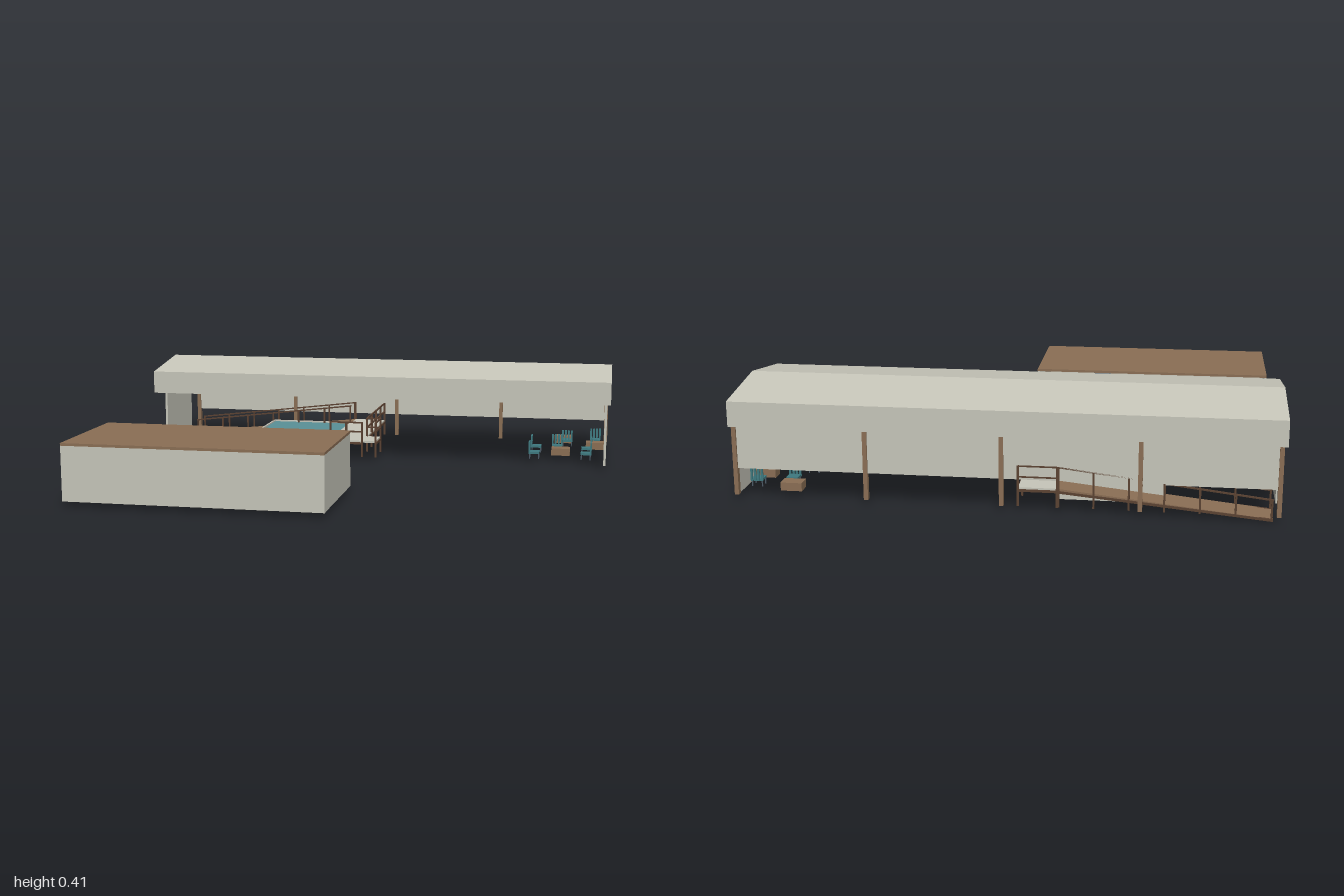
import * as THREE from 'three';

const mat = (name, color, side = THREE.FrontSide) => {
  const m = new THREE.MeshStandardMaterial({ color, side });
  m.name = name;
  return m;
};

export function createModel() {
  const wall = mat('pale grey wall', 0xc8c7bb);
  const wood = mat('brown wood', 0x8b6f55);
  const darkWood = mat('dark brown timber', 0x5c4333);
  const water = mat('teal water', 0x5a9298);
  const teal = mat('teal seat', 0x3f7a80);
  const slate = mat('slate locker', 0x4c5a66);

  const model = new THREE.Group();
  const group = (name, parent = model) => {
    const g = new THREE.Group();
    g.name = name;
    parent.add(g);
    return g;
  };
  // Box given by its lower and upper limits on each axis
  const box = (parent, name, m, x0, x1, y0, y1, z0, z1) => {
    const mesh = new THREE.Mesh(new THREE.BoxGeometry(x1 - x0, y1 - y0, z1 - z0), m);
    mesh.position.set((x0 + x1) / 2, (y0 + y1) / 2, (z0 + z1) / 2);
    mesh.name = name;
    parent.add(mesh);
    return mesh;
  };
  // Square bar between two points
  const bar = (parent, name, m, a, b, t) => {
    const p = new THREE.Vector3(...a), q = new THREE.Vector3(...b);
    const mesh = new THREE.Mesh(new THREE.BoxGeometry(t, t, p.distanceTo(q)), m);
    mesh.position.copy(p).add(q).multiplyScalar(0.5);
    mesh.lookAt(q);
    mesh.name = name;
    parent.add(mesh);
  };
  // Profile of [z, y] points pushed along x
  const profile = (parent, name, m, pts, x0, x1) => {
    const shape = new THREE.Shape(pts.map(([z, y]) => new THREE.Vector2(-z, y)));
    const geo = new THREE.ExtrudeGeometry(shape, { depth: x1 - x0, bevelEnabled: false });
    geo.rotateY(Math.PI / 2).translate(x0, 0, 0);
    const mesh = new THREE.Mesh(geo, m);
    mesh.name = name;
    parent.add(mesh);
  };

  // Long hall: hollow gabled roof with deep fascia and gable ends
  const hall = group('hall');
  const F = -0.23, B = -0.82, R = -0.525, t = 0.006;
  profile(hall, 'roofShell', wall, [
    [F, 0.278], [F, 0.373], [R, 0.415], [B, 0.373], [B, 0.278],
    [B + t, 0.278], [B + t, 0.368], [R, 0.409], [F - t, 0.368], [F - t, 0.278]], -0.995, 0.995);
  const gable = [[F, 0.278], [F, 0.373], [R, 0.415], [B, 0.373], [B, 0.278]];
  profile(hall, 'gableLeft', wall, gable, 0.995, 1);
  profile(hall, 'gableRight', wall, gable, -1, -0.995);
  box(hall, 'endWallLeft', wall, 0.975, 0.985, 0.02, 0.28, -0.8, F);
  box(hall, 'endWallRight', wall, -0.985, -0.975, 0.02, 0.28, -0.67, -0.33);
  box(hall, 'backPanel', wall, -0.98, 0.98, 0.12, 0.28, -0.812, -0.807);
  for (const x of [-0.98, -0.495, 0, 0.495, 0.98])
    box(hall, 'column', wood, x - 0.008, x + 0.008, 0.02, 0.28, -0.819, -0.799);
  for (let i = 0; i < 11; i++) {
    const x = -0.95 + i * 0.019;
    box(hall, 'grilleBar', teal, x - 0.004, x + 0.004, 0.22, 0.278, -0.806, -0.798);
  }

  // Raised pool
  const pool = group('pool');
  box(pool, 'poolFloor', wall, -0.58, -0.2, 0.02, 0.026, -0.72, -0.24);
  box(pool, 'poolFrontWall', wall, -0.58, -0.2, 0.02, 0.09, -0.248, -0.24);
  box(pool, 'poolBackWall', wall, -0.58, -0.2, 0.02, 0.09, -0.72, -0.712);
  box(pool, 'poolSideWall', wall, -0.58, -0.572, 0.02, 0.09, -0.72, -0.24);
  box(pool, 'poolSideWall', wall, -0.208, -0.2, 0.02, 0.09, -0.72, -0.24);
  box(pool, 'poolWater', water, -0.572, -0.208, 0.075, 0.084, -0.712, -0.248);

  // Walkway beside the pool and long ramp behind it
  const walk = group('walkway');
  box(walk, 'walkwayDeck', wall, -0.2, -0.06, 0.082, 0.09, -0.81, -0.24);
  box(walk, 'landingDeck', wall, -0.06, 0, 0.082, 0.09, -0.36, -0.24);
  const rampY = x => 0.09 * (-0.96 - x) / (-0.96 + 0.2);
  for (const z of [-0.809, -0.701]) {
    bar(walk, 'rampBeam', darkWood, [-0.96, 0.006, z], [-0.2, 0.078, z], 0.009);
    bar(walk, 'rampRail', darkWood, [-0.96, 0.08, z], [-0.2, 0.17, z], 0.006);
    for (let i = 0; i <= 6; i++) {
      const x = -0.955 + i * 0.125, y = Math.max(0, rampY(x));
      bar(walk, 'rampPost', darkWood, [x, Math.min(y, 0.02), z], [x, y + 0.08, z], 0.007);
    }
  }
  // Sloping deck, sheared from a box
  const ramp = box(walk, 'rampDeck', wood, -0.96, -0.2, 0.002, 0.01, -0.81, -0.7);
  const rp = ramp.geometry.attributes.position;
  for (let i = 0; i < rp.count; i++) if (rp.getX(i) > 0) rp.setY(i, rp.getY(i) + 0.08);
  ramp.geometry.computeVertexNormals();

  const railing = (x0, z0, x1, z1, n) => {
    for (const y of [0.13, 0.17]) bar(walk, 'handrail', darkWood, [x0, y, z0], [x1, y, z1], 0.006);
    bar(walk, 'deckBeam', darkWood, [x0, 0.079, z0], [x1, 0.079, z1], 0.009);
    for (let i = 0; i <= n; i++) {
      const x = x0 + (x1 - x0) * i / n, z = z0 + (z1 - z0) * i / n;
      bar(walk, 'railPost', darkWood, [x, 0.02, z], [x, 0.172, z], 0.008);
    }
  };
  railing(-0.06, -0.81, -0.06, -0.36, 4);
  railing(-0.2, -0.81, -0.06, -0.81, 1);
  railing(-0.06, -0.36, 0, -0.36, 1);
  railing(0, -0.36, 0, -0.24, 1);
  railing(-0.2, -0.24, -0.06, -0.24, 2);

  // Chair with a slatted back; the back is at -z before turning
  const chair = (parent, x, z, turn, y = 0.02) => {
    const g = group('chair', parent);
    box(g, 'seat', teal, -0.022, 0.022, 0.022, 0.031, -0.022, 0.022);
    for (const sx of [-0.019, 0.019]) for (const sz of [-0.019, 0.019])
      box(g, 'chairLeg', slate, sx - 0.002, sx + 0.002, 0, 0.022, sz - 0.002, sz + 0.002);
    for (let i = 0; i < 4; i++) {
      const s = -0.02 + i * 0.0133;
      box(g, 'backSlat', teal, s - 0.004, s + 0.004, 0.022, 0.075, -0.024, -0.018);
    }
    g.position.set(x, y, z);
    g.rotation.y = turn;
  };
  const table = (parent, x, z, w = 0.04) =>
    box(parent, 'table', wood, x - w, x + w, 0.024, 0.055, z - 0.027, z + 0.027);

  // Seating area at the left end of the hall
  const seating = group('seating');
  const H = Math.PI / 2;
  table(seating, 0.79, -0.43);
  table(seating, 0.79, -0.74);
  table(seating, 0.935, -0.6);
  chair(seating, 0.68, -0.35, H);
  chair(seating, 0.68, -0.5, H);
  chair(seating, 0.9, -0.36, -H);
  chair(seating, 0.9, -0.48, -H);
  chair(seating, 0.77, -0.52, 0);
  chair(seating, 0.81, -0.67, Math.PI);
  chair(seating, 0.935, -0.7, 0);

  // Flat-roofed block, open along the back
  const block = group('changingBlock');
  box(block, 'flatRoof', wood, -0.985, 0.01, 0.23, 0.24, 0.355, 0.82);
  box(block, 'frontWall', wall, -0.985, 0.01, 0.02, 0.23, 0.81, 0.819);
  box(block, 'sideWallLeft', wall, 0.001, 0.009, 0.02, 0.23, 0.357, 0.81);
  box(block, 'sideWallRight', wall, -0.984, -0.976, 0.02, 0.23, 0.357, 0.81);
  for (const x of [-0.35, -0.665])
    box(block, 'partition', wall, x - 0.004, x + 0.004, 0.02, 0.23, 0.5, 0.81);
  for (const [a, b] of [[-0.976, -0.86], [-0.79, -0.54], [-0.47, -0.35]])
    box(block, 'innerWall', wall, a, b, 0.02, 0.23, 0.496, 0.504);
  for (const x of [-0.825, -0.505])
    box(block, 'doorLintel', wall, x - 0.035, x + 0.035, 0.17, 0.23, 0.496, 0.504);
  for (const x of [-0.57, -0.84]) {
    table(block, x, 0.76);
    chair(block, x, 0.69, 0);
  }
  for (let i = 0; i < 4; i++)
    box(block, 'locker', slate, -0.29, -0.22, 0.02, 0.17, 0.5 + i * 0.06, 0.554 + i * 0.06);
  box(block, 'bench', wood, -0.15, -0.05, 0.02, 0.05, 0.62, 0.78);

  // Reception counter at the back opening
  box(block, 'counter', wood, -0.155, -0.04, 0.02, 0.075, 0.336, 0.357);
  box(block, 'counterTop', wall, -0.152, -0.043, 0.075, 0.08, 0.339, 0.357);
  box(block, 'counterScreen', slate, -0.15, -0.045, 0.08, 0.088, 0.348, 0.356);

  return model;
}
